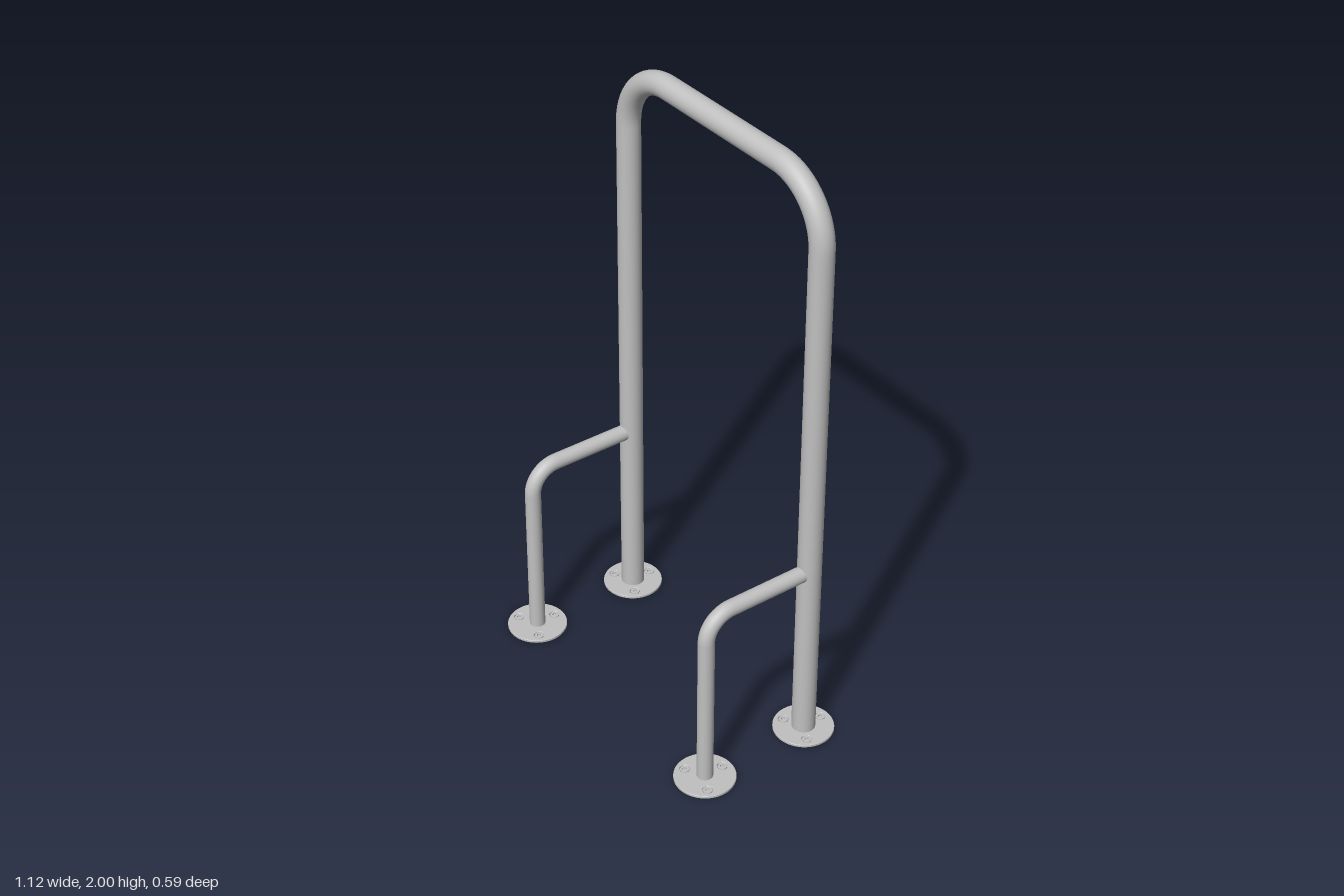
import * as THREE from 'three';

const steel = new THREE.MeshStandardMaterial({ color: 0xc0c0c0, side: THREE.DoubleSide });
steel.name = 'brushed steel';

const LEG_X = 0.46, LEG_Z = 0.195;
const PLATE_R = 0.098, PLATE_H = 0.01;
const SCREW_R = 0.0165, SCREW_RING = 0.068;

function addMesh(parent, geometry, name) {
  const mesh = new THREE.Mesh(geometry, steel);
  mesh.name = name;
  parent.add(mesh);
  return mesh;
}

// Straight runs joined by circular bends at the inner corner points
function bentPipe(points, bend, radius, segments) {
  const path = new THREE.CurvePath();
  let from = points[0];
  for (let i = 1; i < points.length - 1; i++) {
    const corner = points[i];
    const back = points[i - 1].clone().sub(corner).normalize();
    const ahead = points[i + 1].clone().sub(corner).normalize();
    const along = (dir, d) => corner.clone().addScaledVector(dir, d);
    const start = along(back, bend), end = along(ahead, bend);
    path.add(new THREE.LineCurve3(from, start));
    path.add(new THREE.CubicBezierCurve3(start, along(back, bend * 0.448), along(ahead, bend * 0.448), end));
    from = end;
  }
  path.add(new THREE.LineCurve3(from, points[points.length - 1]));
  return new THREE.TubeGeometry(path, segments, radius, 28, false);
}

function disc(radius) {
  return new THREE.Shape().absarc(0, 0, radius, 0, Math.PI * 2, false);
}

function hole(radius, x = 0, y = 0) {
  return new THREE.Path().absarc(x, y, radius, 0, Math.PI * 2, true);
}

// Three fixings per plate; one points to the back
const screwSpots = [0, 1, 2].map((i) => {
  const a = Math.PI / 2 + (i * Math.PI * 2) / 3;
  return [Math.cos(a) * SCREW_RING, Math.sin(a) * SCREW_RING];
});

// Round floor plate with a pipe opening and countersunk screw holes
function plateGeometry(opening) {
  const shape = disc(PLATE_R);
  shape.holes.push(hole(opening));
  for (const [x, y] of screwSpots) shape.holes.push(hole(SCREW_R, x, y));
  const b = 0.0015;
  return new THREE.ExtrudeGeometry(shape, {
    depth: PLATE_H - 2 * b, bevelThickness: b, bevelSize: b, bevelOffset: -b,
    bevelSegments: 1, curveSegments: 32,
  }).rotateX(-Math.PI / 2).translate(0, b, 0);
}

// Screw head with a hexagonal socket
function screwGeometry() {
  const shape = disc(SCREW_R - 0.002);
  const hex = [];
  for (let i = 0; i < 6; i++) {
    const a = (-i * Math.PI) / 3;
    hex.push(new THREE.Vector2(Math.cos(a) * 0.0075, Math.sin(a) * 0.0075));
  }
  shape.holes.push(new THREE.Path(hex));
  return new THREE.ExtrudeGeometry(shape, { depth: 0.005, bevelEnabled: false, curveSegments: 12 })
    .rotateX(-Math.PI / 2).translate(0, 0.004, 0);
}

function makeFoot(opening, name) {
  const foot = new THREE.Group();
  foot.name = name;
  addMesh(foot, plateGeometry(opening), 'floorPlate');
  const head = screwGeometry();
  const base = new THREE.CylinderGeometry(SCREW_R, SCREW_R, 0.002, 24);
  for (const [x, y] of screwSpots) {
    addMesh(foot, head, 'screwHead').position.set(x, 0, -y);
    addMesh(foot, base, 'screwSocketFloor').position.set(x, 0.003, -y);
  }
  return foot;
}

export function createModel() {
  const model = new THREE.Group();
  model.name = 'grabRailFrame';
  const v = (x, y, z) => new THREE.Vector3(x, y, z);

  // Tall rear hoop
  addMesh(model, bentPipe([
    v(-LEG_X, 0.004, -LEG_Z), v(-LEG_X, 1.962, -LEG_Z),
    v(LEG_X, 1.962, -LEG_Z), v(LEG_X, 0.004, -LEG_Z),
  ], 0.2, 0.038, 240), 'mainHoop');

  for (const side of [-1, 1]) {
    const label = side > 0 ? 'left' : 'right';
    const x = side * LEG_X;
    // Low front brace running back into the hoop
    addMesh(model, bentPipe([
      v(x, 0.004, LEG_Z), v(x, 0.629, LEG_Z), v(x, 0.629, -LEG_Z + 0.03),
    ], 0.09, 0.026, 120), label + 'FrontBrace');

    // Floor plates
    const rear = makeFoot(0.03, label + 'RearFoot');
    rear.position.set(x, 0, -LEG_Z);
    const front = makeFoot(0.022, label + 'FrontFoot');
    front.position.set(x, 0, LEG_Z);
    model.add(rear, front);
  }
  return model;
}
